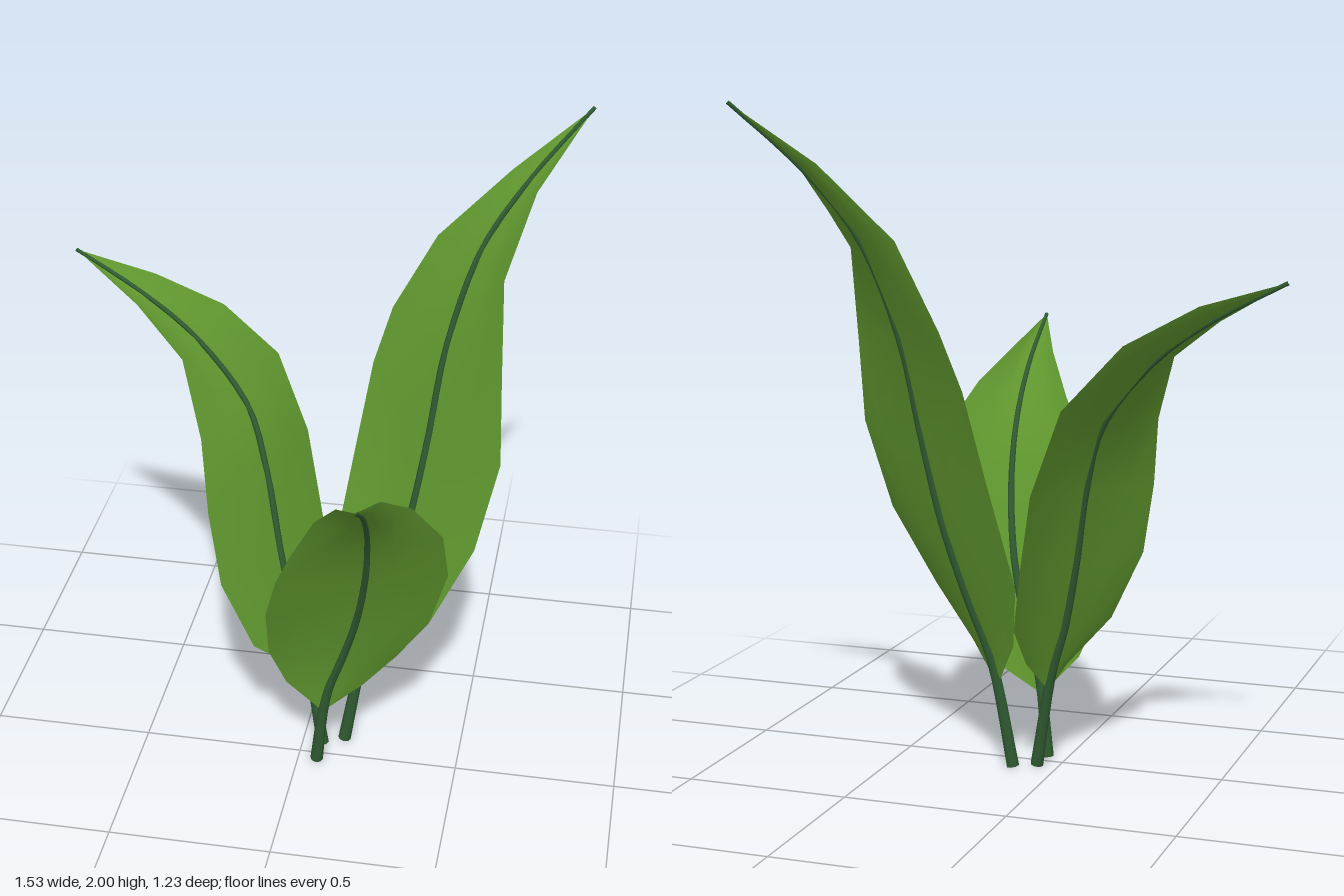
import * as THREE from 'three';

const leafMat = new THREE.MeshStandardMaterial({ color: 0x5f962e, side: THREE.DoubleSide });
const ribMat = new THREE.MeshStandardMaterial({ color: 0x2f5a30 });
const COLS = 6;

// Blade: each station is a left edge, midrib and right edge point, joined by a parabola.
function bladeGeometry(base, stations, tip) {
  const rows = [[base, base, base], ...stations, [tip, tip, tip]];
  const pos = [], index = [];
  rows.forEach(([l, m, r], i) => {
    for (let j = 0; j <= COLS; j++) {
      const t = (2 * j) / COLS - 1;
      const a = (t * (t - 1)) / 2, b = 1 - t * t, c = (t * (t + 1)) / 2;
      for (let k = 0; k < 3; k++) pos.push(l[k] * a + m[k] * b + r[k] * c);
      if (i && j) {
        const q = i * (COLS + 1) + j, p = q - COLS - 1;
        index.push(p - 1, p, q, p - 1, q, q - 1);
      }
    }
  });
  const g = new THREE.BufferGeometry();
  g.setAttribute('position', new THREE.Float32BufferAttribute(pos, 3));
  g.setIndex(index);
  g.computeVertexNormals();
  return g;
}

// Stem and midrib: one tube that thins towards the tip.
function ribGeometry(curve) {
  const segs = 32, sides = 8;
  const g = new THREE.TubeGeometry(curve, segs, 1, sides, false);
  const p = g.attributes.position, v = new THREE.Vector3();
  for (let i = 0; i < p.count; i++) {
    const u = Math.floor(i / (sides + 1)) / segs;
    const centre = curve.getPointAt(u);
    const radius = u < 0.2 ? 0.02 - 0.03 * u : 0.014 - 0.01 * (u - 0.2);
    v.fromBufferAttribute(p, i).sub(centre).multiplyScalar(radius).add(centre);
    p.setXYZ(i, v.x, v.y, v.z);
  }
  g.computeVertexNormals();
  return g;
}

function makeLeaf(name, root, base, stations, tip) {
  const group = new THREE.Group();
  group.name = name;
  const blade = new THREE.Mesh(bladeGeometry(base, stations, tip), leafMat);
  blade.name = 'blade';

  const path = [root, base, ...stations.map((s) => s[1]), tip];
  const curve = new THREE.CatmullRomCurve3(path.map((p) => new THREE.Vector3(...p)));
  const rib = new THREE.Mesh(ribGeometry(curve), ribMat);
  rib.name = 'stemAndMidrib';

  // Disc closing the cut end of the stem
  const cut = new THREE.Mesh(new THREE.CircleGeometry(0.02, 8), ribMat);
  cut.name = 'stemEnd';
  cut.position.set(...root);
  cut.lookAt(cut.position.clone().sub(curve.getTangentAt(0)));

  group.add(blade, rib, cut);
  return group;
}

export function createModel() {
  const model = new THREE.Group();
  model.name = 'plant';

  model.add(makeLeaf('frontLeaf', [0.06, 0.006, 0.035], [0.08, 0.2, 0.04], [
    [[-0.03, 0.32, 0.07], [0.1, 0.3, 0.045], [0.2, 0.29, 0]],
    [[-0.08, 0.45, 0.1], [0.14, 0.42, 0.06], [0.3, 0.4, -0.015]],
    [[-0.07, 0.65, 0.19], [0.19, 0.6, 0.1], [0.4, 0.56, 0.02]],
    [[-0.03, 0.8, 0.24], [0.225, 0.8, 0.17], [0.46, 0.78, 0.08]],
    [[0.02, 0.92, 0.28], [0.24, 0.95, 0.24], [0.45, 0.97, 0.17]],
    [[0.1, 1.08, 0.33], [0.25, 1.07, 0.33], [0.37, 1.12, 0.27]],
    [[0.18, 1.2, 0.44], [0.255, 1.18, 0.44], [0.3, 1.22, 0.41]],
  ], [0.26, 1.3, 0.61]));

  model.add(makeLeaf('tallLeaf', [0.13, 0.006, -0.085], [0.17, 0.26, -0.105], [
    [[0.1, 0.4, -0.16], [0.19, 0.36, -0.12], [0.27, 0.38, -0.05]],
    [[0.06, 0.6, -0.25], [0.24, 0.52, -0.155], [0.4, 0.54, -0.02]],
    [[0.11, 0.94, -0.36], [0.3, 0.76, -0.21], [0.52, 0.78, -0.07]],
    [[0.15, 1.2, -0.43], [0.345, 1.03, -0.26], [0.58, 1.05, -0.13]],
    [[0.2, 1.37, -0.475], [0.385, 1.33, -0.325], [0.565, 1.3, -0.2]],
    [[0.33, 1.62, -0.475], [0.47, 1.62, -0.41], [0.55, 1.58, -0.28]],
    [[0.54, 1.83, -0.52], [0.6, 1.82, -0.5], [0.62, 1.8, -0.43]],
  ], [0.76, 2, -0.615]));

  model.add(makeLeaf('sideLeaf', [0.065, 0.006, -0.05], [0.02, 0.25, -0.075], [
    [[0.06, 0.35, -0.16], [0, 0.33, -0.085], [-0.02, 0.32, -0.01]],
    [[0.055, 0.48, -0.28], [-0.04, 0.45, -0.105], [-0.13, 0.45, 0.08]],
    [[0, 0.68, -0.38], [-0.09, 0.66, -0.145], [-0.23, 0.66, 0.075]],
    [[-0.06, 0.92, -0.46], [-0.14, 0.9, -0.2], [-0.275, 0.88, 0.03]],
    [[-0.16, 1.17, -0.49], [-0.21, 1.1, -0.26], [-0.31, 1.09, -0.05]],
    [[-0.32, 1.35, -0.44], [-0.38, 1.3, -0.305], [-0.39, 1.29, -0.17]],
    [[-0.52, 1.46, -0.39], [-0.55, 1.42, -0.335], [-0.55, 1.41, -0.27]],
  ], [-0.76, 1.53, -0.37]));

  return model;
}
